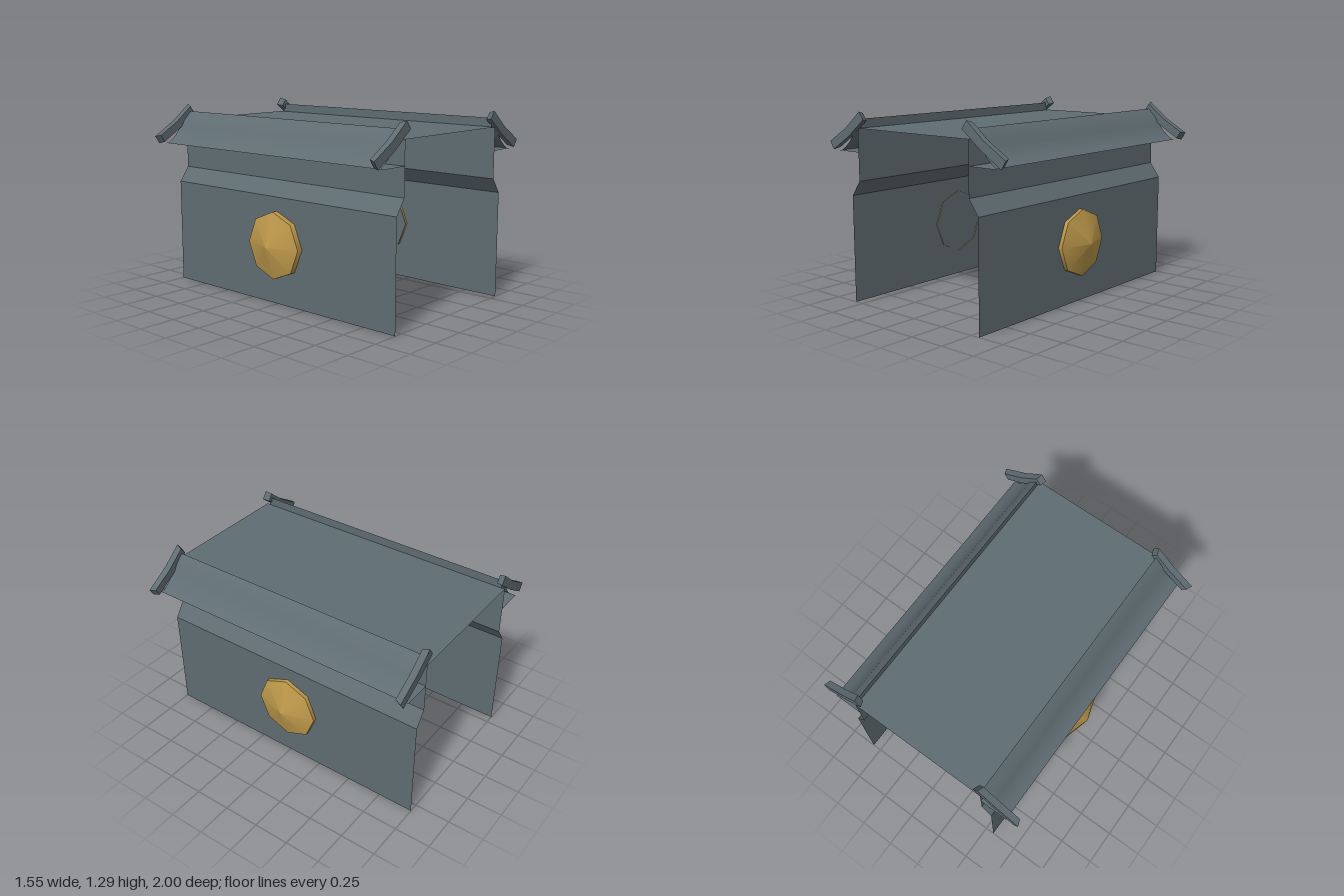
import * as THREE from 'three';
import { toCreasedNormals } from 'three/addons/utils/BufferGeometryUtils.js';

const slate = new THREE.MeshStandardMaterial({ color: 0x5f6c72, side: THREE.DoubleSide });
slate.name = 'slate';
const gold = new THREE.MeshStandardMaterial({ color: 0xbe994b, side: THREE.DoubleSide });
gold.name = 'gold';

// Thin sheet: an x/y profile swept along z from -halfLength to halfLength
function sheet(name, profile, halfLength) {
  const positions = [];
  for (let i = 0; i < profile.length - 1; i++) {
    const [ax, ay] = profile[i];
    const [bx, by] = profile[i + 1];
    const a = [ax, ay, halfLength], b = [bx, by, halfLength];
    const c = [bx, by, -halfLength], d = [ax, ay, -halfLength];
    positions.push(...a, ...b, ...c, ...a, ...c, ...d);
  }
  const geometry = new THREE.BufferGeometry();
  geometry.setAttribute('position', new THREE.Float32BufferAttribute(positions, 3));
  const mesh = new THREE.Mesh(toCreasedNormals(geometry, 0.5), slate);
  mesh.name = name;
  return mesh;
}

// Bent bar closing a rail, full size at z = 1 and slightly smaller on its inner face
function endCap(side) {
  const outline = [
    [0.437, 1.237], [0.585, 1.122], [0.742, 1.024],
    [0.777, 1.077], [0.61, 1.178], [0.475, 1.289],
  ];
  const shape = new THREE.Shape(outline.map(([x, y]) => new THREE.Vector2(x * side, y)));
  const geometry = new THREE.ExtrudeGeometry(shape, { depth: 0.045, bevelEnabled: false });
  const p = geometry.attributes.position;
  for (let i = 0; i < p.count; i++) {
    if (p.getZ(i) < 0.01) {
      p.setX(i, 0.607 * side + (p.getX(i) - 0.607 * side) * 0.9);
      p.setY(i, 1.155 + (p.getY(i) - 1.155) * 0.9);
    }
  }
  geometry.translate(0, 0, 0.955);
  const mesh = new THREE.Mesh(toCreasedNormals(geometry, 0.6), slate);
  mesh.name = 'endCap';
  return mesh;
}

// Eight-sided boss: open rim with a shallow cone pointing outwards
function boss(side, innerX) {
  const group = new THREE.Group();
  group.name = 'boss';
  const rim = new THREE.Mesh(new THREE.CylinderGeometry(0.229, 0.229, 0.045, 8, 1, true), gold);
  rim.name = 'bossRim';
  rim.position.y = 0.0225;
  const dome = new THREE.Mesh(new THREE.ConeGeometry(0.229, 0.071, 8, 1, true), gold);
  dome.name = 'bossDome';
  dome.position.y = 0.045 + 0.0355;
  group.add(rim, dome);
  group.rotation.z = -side * Math.PI / 2;
  group.position.set(side * innerX, 0.406, 0);
  return group;
}

export function createModel() {
  const model = new THREE.Group();
  model.name = 'canopy';

  // Flat roof
  model.add(sheet('roof', [[0.49, 1.18], [-0.49, 1.18]], 1));

  for (const side of [1, -1]) {
    const half = new THREE.Group();
    half.name = side > 0 ? 'leftSide' : 'rightSide';
    const mirror = (points) => points.map(([x, y]) => [x * side, y]);

    // Wall stepping inwards towards the roof
    half.add(sheet('wall', mirror([[0.563, 0], [0.563, 0.73], [0.49, 0.832], [0.49, 1.18]]), 1));

    // Eave rail: upright lip, sloped top and hollow outer curve
    half.add(sheet('eaveRail', mirror([
      [0.487, 1.18], [0.487, 1.24], [0.547, 1.18],
      [0.575, 1.125], [0.61, 1.08], [0.647, 1.047], [0.686, 1.022],
    ]), 0.975));

    // Underside of the eave
    half.add(sheet('eaveSoffit', mirror([[0.686, 1.022], [0.49, 1.022]]), 1));

    // End caps, the rear one turned about the vertical axis
    const frontCap = endCap(side);
    const rearCap = endCap(-side);
    rearCap.rotation.y = Math.PI;
    half.add(frontCap, rearCap);

    half.add(boss(side, side > 0 ? 0.545 : 0.558));
    model.add(half);
  }
  return model;
}
